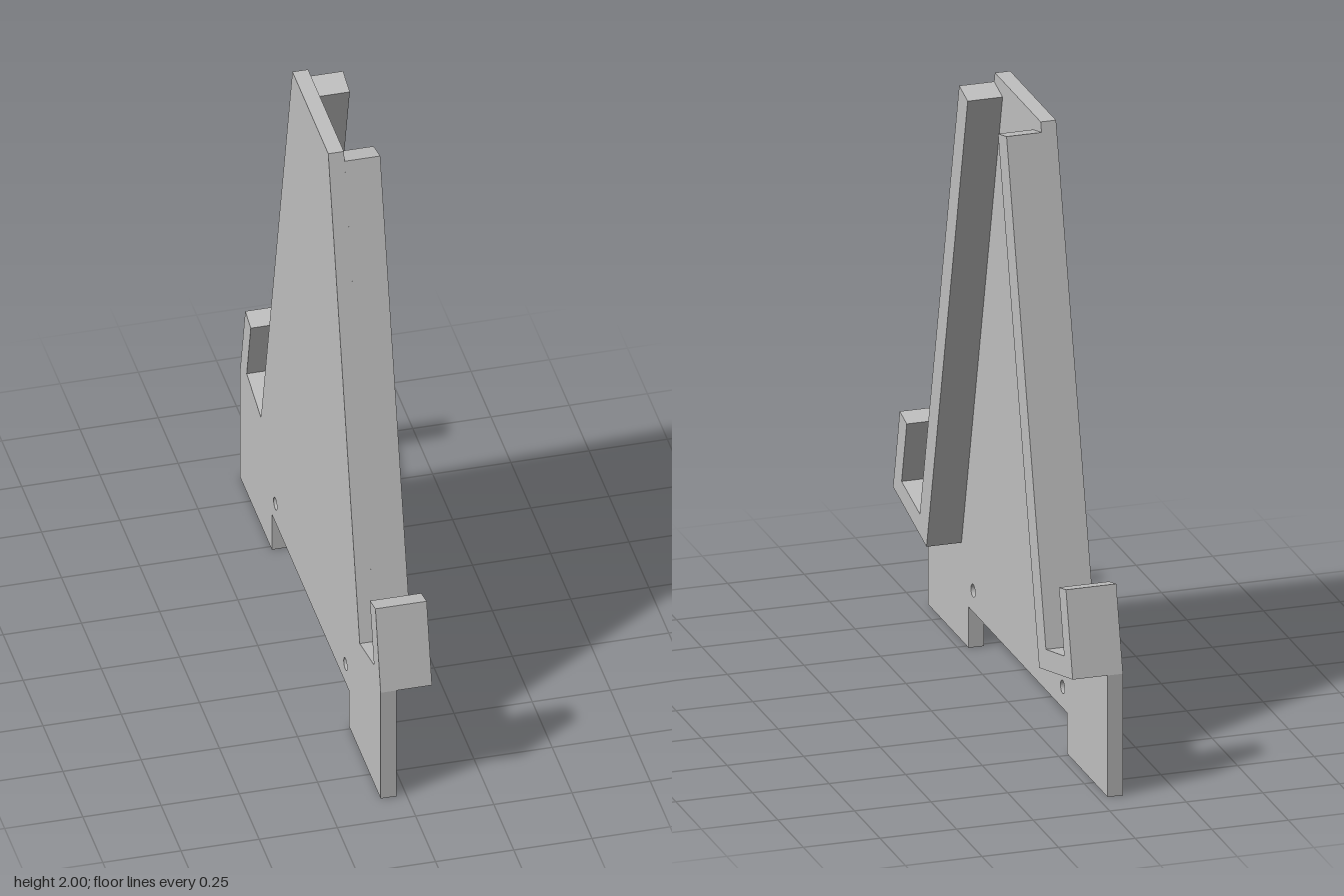
import * as THREE from 'three';

const X_BACK = -0.082, X_SEAM = -0.032, X_FRONT = 0.082;

// Extrudes a (z, y) profile sideways from x0 to x1
function slab(name, points, x0, x1, material, holes = []) {
  const shape = new THREE.Shape(points.map(([z, y]) => new THREE.Vector2(z, y)));
  for (const [z, y, r] of holes) {
    shape.holes.push(new THREE.Path().absarc(z, y, r, 0, Math.PI * 2, true));
  }
  const geometry = new THREE.ExtrudeGeometry(shape, { depth: x1 - x0, bevelEnabled: false, curveSegments: 16 });
  geometry.rotateY(-Math.PI / 2);
  geometry.translate(x1, 0, 0);
  const mesh = new THREE.Mesh(geometry, material);
  mesh.name = name;
  return mesh;
}

const mirror = (points) => points.map(([z, y]) => [-z, y]).reverse();

export function createModel() {
  const group = new THREE.Group();
  group.name = 'easelSide';
  const grey = new THREE.MeshStandardMaterial({ color: 0xc0c0c0 });
  grey.name = 'grey';

  // Upturned hook, shared by the plate and the raised rails
  const hook = [[0.883, 0.403], [0.817, 0.677], [0.748, 0.66], [0.799, 0.451], [0.62, 0.408]];

  // Thin tapered plate with feet, a notch below and two screw holes
  const half = [[0.483, 0.135], [0.483, 0], [0.883, 0], ...hook, [0.225, 2]];
  group.add(slab('plate', [...half, ...mirror(half)], X_BACK, X_SEAM, grey,
    [[0.44, 0.205, 0.021], [-0.44, 0.205, 0.021]]));

  // Raised rails that run up each sloping edge and end in a hook
  const rail = [...hook, [0.233, 1.968], [0.149, 1.947], [0.554, 0.323]];
  group.add(slab('frontRail', rail, X_SEAM, X_FRONT, grey));
  group.add(slab('backRail', mirror(rail), X_SEAM, X_FRONT, grey));

  return group;
}
